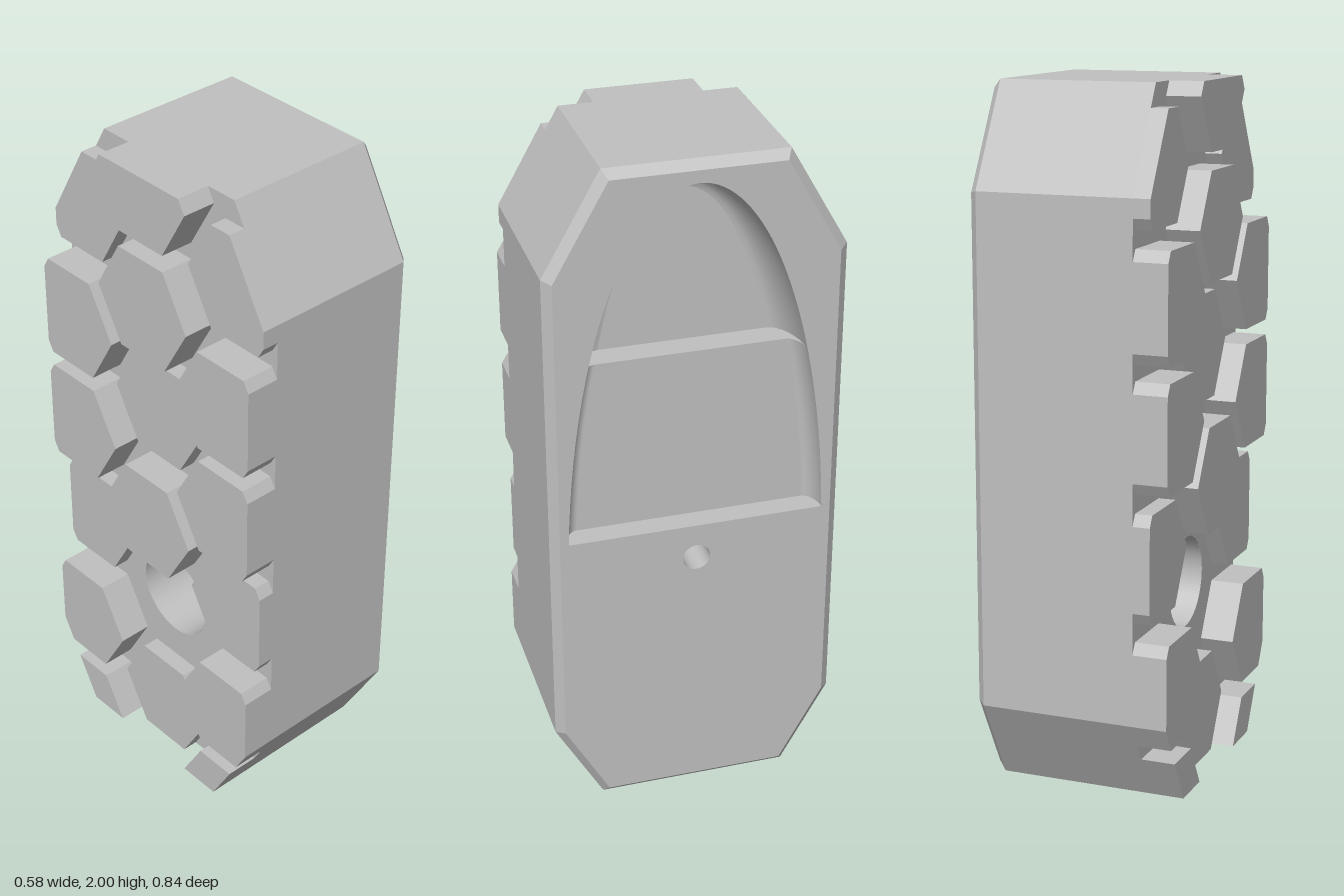
import * as THREE from 'three';

// Local frame: x across, y up, z through the thickness; the group is turned so local z becomes +x.
const FACE = 0.29, BEVEL = 0.265, FLOOR = -0.19;
const V = (x, y) => new THREE.Vector2(x, y);
const outline = [V(-0.28, 0), V(0.28, 0), V(0.42, 0.25), V(0.42, 1.71),
  V(0.255, 2), V(-0.255, 2), V(-0.42, 1.71), V(-0.42, 0.25)];
const inset = [V(-0.266, 0.025), V(0.266, 0.025), V(0.395, 0.257), V(0.395, 1.703),
  V(0.24, 1.975), V(-0.24, 1.975), V(-0.395, 1.703), V(-0.395, 0.257)];

// Surface through rows of [x, y, z] points
function loft(rows, { closed = false, flat = false } = {}) {
  const n = rows[0].length, index = [];
  for (let r = 0; r < rows.length - 1; r++) {
    for (let i = 0; i < (closed ? n : n - 1); i++) {
      const j = (i + 1) % n, a = r * n + i, b = r * n + j;
      index.push(a, b, b + n, a, b + n, a + n);
    }
  }
  let g = new THREE.BufferGeometry();
  g.setAttribute('position', new THREE.Float32BufferAttribute(rows.flat(2), 3));
  g.setIndex(index);
  if (flat) g = g.toNonIndexed();
  g.computeVertexNormals();
  return g;
}

// Clip a convex polygon by the convex body outline
function clip(poly) {
  outline.forEach((a, i) => {
    const b = outline[(i + 1) % outline.length];
    const side = p => (b.x - a.x) * (p.y - a.y) - (b.y - a.y) * (p.x - a.x);
    const out = [];
    poly.forEach((p, k) => {
      const q = poly[(k + 1) % poly.length], sp = side(p), sq = side(q);
      if (sp >= 0) out.push(p);
      if (sp * sq < 0) out.push(p.clone().lerp(q, sp / (sp - sq)));
    });
    poly = out;
  });
  return poly;
}

// Arched pocket: half width at a height
const Y0 = 0.905, STEP = 1.42, TOP = 1.94;
function halfWidth(y) {
  const t = (y - Y0) / (TOP - Y0);
  return 0.37 * Math.sqrt(Math.max(0, 1 - 0.2 * t - 0.8 * t * t));
}
const K = 8;
// Rounded wall profile: inward offset and depth
function wall(radius, depth) {
  return Array.from({ length: K + 1 }, (_, k) => {
    const a = k / K * Math.PI / 2;
    return [radius * (1 - Math.cos(a)), FACE - depth * Math.sin(a)];
  });
}
const shallow = wall(0.04, 0.07), deep = wall(0.07, 0.15);
// Full section across the pocket at one height
function section(y, profile) {
  const w = halfWidth(y);
  const half = profile.map(([o, z]) => [w - o, y, z]);
  return [...half.map(([x, yy, z]) => [-x, yy, z]), ...half.reverse()];
}

export function createModel() {
  const model = new THREE.Group();
  model.name = 'grippedBlock';
  model.rotation.y = Math.PI / 2;
  const grey = new THREE.MeshStandardMaterial({ color: 0xc0c0c0, side: THREE.DoubleSide });
  grey.name = 'light grey';
  function add(name, geometry, x = 0, y = 0, z = 0) {
    const mesh = new THREE.Mesh(geometry, grey);
    mesh.name = name;
    mesh.position.set(x, y, z);
    model.add(mesh);
    return mesh;
  }
  const ring = (pts, z) => pts.map(p => [p.x, p.y, z]);
  const circle = (y, r) => new THREE.Path().absarc(0, y, r, 0, Math.PI * 2, true);

  // Outer shell with bevelled front edge
  add('bodyShell', loft([ring(outline, FLOOR), ring(outline, BEVEL), ring(inset, FACE)],
    { closed: true, flat: true }));

  // Pocket heights, then the arch from right to left
  const lowY = Array.from({ length: 9 }, (_, i) => Y0 + (STEP - Y0) * i / 8);
  const N = 24, arch = [];
  for (let i = 0; i <= 2 * N; i++) {
    const y = STEP + (TOP - STEP) * Math.sin(i / (2 * N) * Math.PI);
    arch.push(V((i <= N ? 1 : -1) * halfWidth(y), y));
  }
  const sides = lowY.slice(0, -1).map(y => V(halfWidth(y), y));
  const mouth = [...sides, ...arch, ...sides.map(p => V(-p.x, p.y)).reverse()];

  // Front face
  const face = new THREE.Shape(inset);
  face.holes.push(new THREE.Path(mouth), circle(0.8, 0.04));
  add('frontFace', new THREE.ShapeGeometry(face, 24), 0, 0, FACE);

  // Shallow lower pocket with its ledge
  add('lowerPocket', loft(lowY.map(y => section(y, shallow))));
  const base = section(Y0, shallow);
  add('pocketLedge', loft([base.map(([x, y]) => [x, y, FACE]), base]));

  // Deep arched upper pocket
  const width = halfWidth(STEP);
  const shrink = off => arch.map(p => V(p.x * (1 - off / width),
    STEP + (p.y - STEP) * (1 - off / (TOP - STEP))));
  add('upperPocketWall', loft(deep.map(([off, z]) => ring(shrink(off), z)).reverse()));
  const [lastOff, lastZ] = deep[K];
  add('upperPocketFloor', new THREE.ShapeGeometry(new THREE.Shape(shrink(lastOff))), 0, 0, lastZ);
  add('pocketStep', loft([section(STEP, shallow), section(STEP, deep)]));

  // Blind holes
  function hole(name, y, r, z0, z1, bottom) {
    const tube = new THREE.CylinderGeometry(r, r, z1 - z0, 32, 1, true);
    tube.rotateX(Math.PI / 2);
    add(name + 'Wall', tube, 0, y, (z0 + z1) / 2);
    add(name + 'Bottom', new THREE.CircleGeometry(r, 32), 0, y, bottom);
  }
  hole('smallHole', 0.8, 0.04, 0.14, FACE, 0.14);
  hole('largeHole', 0.55, 0.135, FLOOR, 0.06, 0.06);

  // Groove floor behind the pads
  const back = new THREE.Shape(outline);
  back.holes.push(circle(0.55, 0.135));
  const floor = new THREE.ShapeGeometry(back, 24);
  floor.rotateY(Math.PI);
  add('grooveFloor', floor, 0, 0, FLOOR);

  // Hexagonal grip pads: [height of centre, pad thickness]
  const tall = 0.1, low = 0.05, R = 0.179;
  const middle = [[1.96, tall], [1.6, tall], [1.245, low], [0.88, tall], [0.16, low]];
  const edge = [[1.78, low], [1.42, tall], [1.065, tall], [0.7, low], [0.335, tall], [-0.025, tall]];
  for (const [x, column] of [[0, middle], [0.312, edge], [-0.312, edge]]) {
    for (const [y, thick] of column) {
      const hex = Array.from({ length: 6 }, (_, i) =>
        V(x + R * Math.cos(i * Math.PI / 3), y + R * Math.sin(i * Math.PI / 3)));
      add('gripPad', new THREE.ExtrudeGeometry(new THREE.Shape(clip(hex)),
        { depth: thick, bevelEnabled: false }), 0, 0, FLOOR - thick);
    }
  }

  const group = new THREE.Group();
  group.name = 'model';
  group.add(model);
  return group;
}
